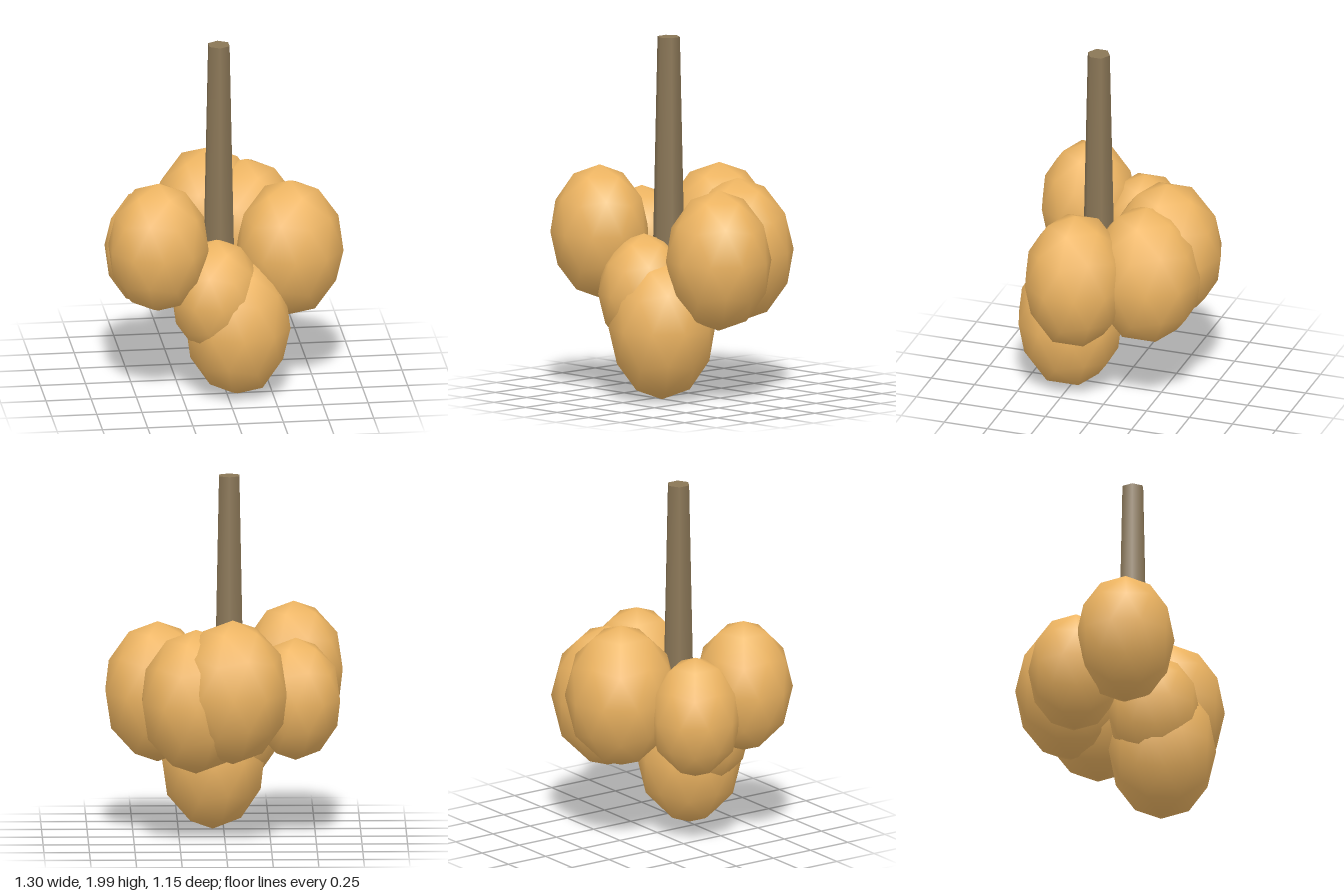
import * as THREE from 'three';

const fruitMaterial = new THREE.MeshStandardMaterial({ color: 0xeeb562 });
const stemMaterial = new THREE.MeshStandardMaterial({ color: 0x8b7757 });

// Each fruit: name, centre and radii
const FRUITS = [
  ['frontLeftUpperFruit', [0.365, 0.80, 0.122], [0.30, 0.39, 0.287]],
  ['frontRightUpperFruit', [-0.385, 0.90, 0.307], [0.281, 0.37, 0.267]],
  ['lowestFruit', [0.06, 0.41, 0.26], [0.294, 0.40, 0.296]],
  ['frontSmallFruit', [-0.06, 0.59, 0.283], [0.252, 0.33, 0.254]],
  ['rightSmallFruit', [-0.39, 0.78, -0.02], [0.255, 0.34, 0.255]],
  ['backFruit', [-0.04, 0.86, -0.27], [0.31, 0.40, 0.31]],
  ['backLeftFruit', [0.16, 0.80, -0.22], [0.31, 0.40, 0.31]],
];

export function createModel() {
  const group = new THREE.Group();
  group.name = 'fruitCluster';

  // Low-poly sphere turned so that a corner points straight up
  const unitFruit = new THREE.IcosahedronGeometry(1, 1);
  unitFruit.rotateZ(-Math.atan(2 / (1 + Math.sqrt(5))));

  for (const [name, centre, radii] of FRUITS) {
    const fruit = new THREE.Mesh(unitFruit, fruitMaterial);
    fruit.name = name;
    fruit.position.set(...centre);
    fruit.scale.set(...radii);
    group.add(fruit);
  }

  // Tapered six-sided stem
  const bottom = 0.82, top = 2;
  const stem = new THREE.Mesh(
    new THREE.CylinderGeometry(0.064, 0.09, top - bottom, 6), stemMaterial);
  stem.name = 'stem';
  stem.position.set(-0.028, (top + bottom) / 2, 0.124);
  group.add(stem);

  return group;
}
